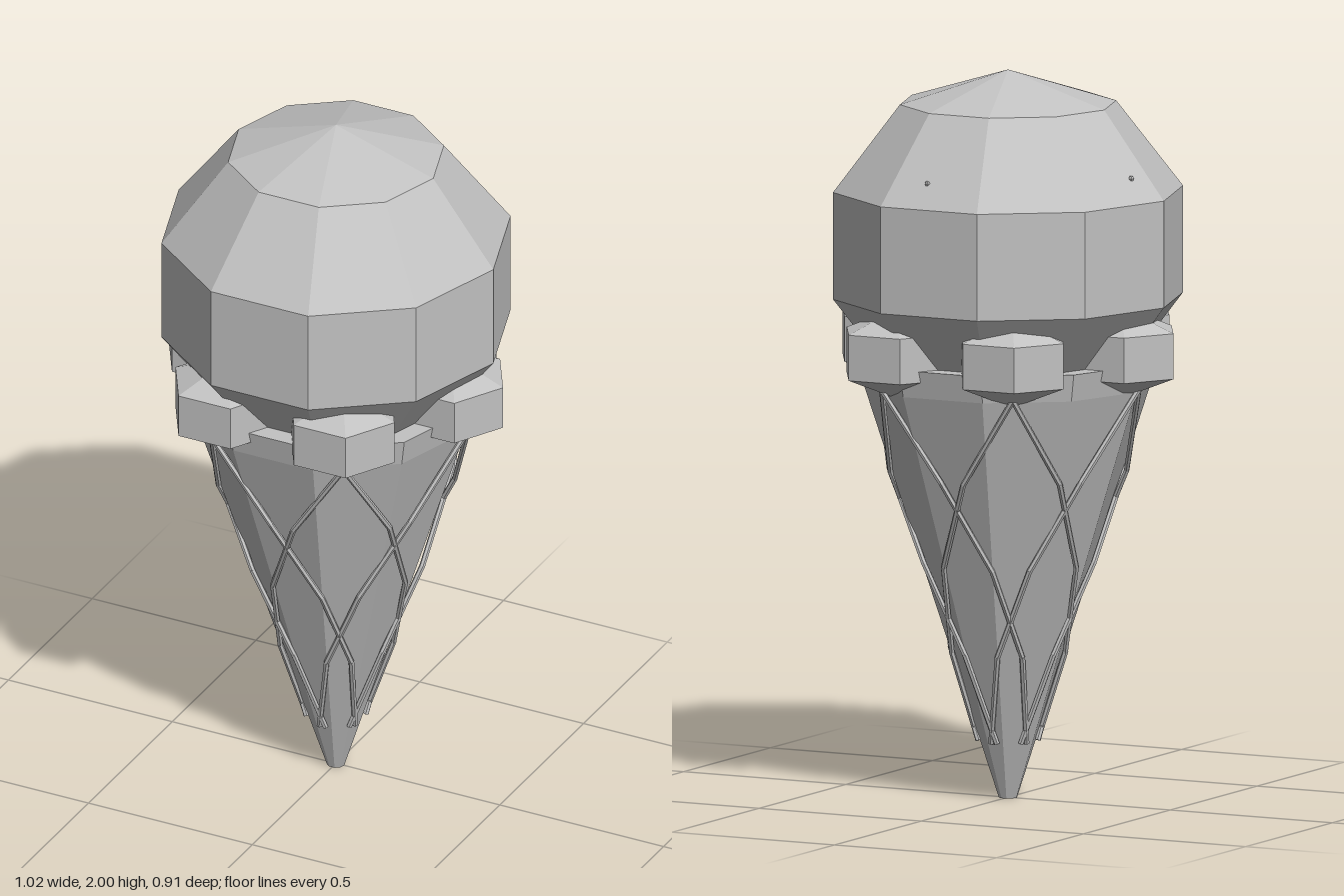
import * as THREE from 'three';

const grey = new THREE.MeshStandardMaterial({ color: 0xc2c2c2, flatShading: true });
grey.name = 'plainGrey';

function addPart(parent, name, geometry, x = 0, y = 0, z = 0) {
  const mesh = new THREE.Mesh(geometry, grey);
  mesh.name = name;
  mesh.position.set(x, y, z);
  parent.add(mesh);
  return mesh;
}

// Thin rod between two points
function addRod(parent, name, a, b, radius) {
  const dir = b.clone().sub(a);
  const mesh = addPart(parent, name, new THREE.CylinderGeometry(radius, radius, dir.length() + radius * 0.5, 6));
  mesh.position.copy(a).add(b).multiplyScalar(0.5);
  mesh.quaternion.setFromUnitVectors(new THREE.Vector3(0, 1, 0), dir.normalize());
}

// Point on the conical surface that carries the lattice
function onCone(angle, y) {
  const r = 0.03 + 0.325 * y;
  return new THREE.Vector3(r * Math.cos(angle), y, r * Math.sin(angle));
}

export function createModel() {
  const model = new THREE.Group();
  model.name = 'iceCreamCone';

  // Ten-sided scoop, slightly flattened
  addPart(model, 'scoop', new THREE.SphereGeometry(0.505, 10, 5).scale(1, 0.475 / 0.505, 1), 0, 1.525, 0);

  // Ten-sided cone with an upright rim and closed ends
  const profile = [[0, 0], [0.025, 0], [0.395, 1.14], [0.41, 1.215], [0, 1.215]]
    .map(([r, y]) => new THREE.Vector2(r, y));
  addPart(model, 'cone', new THREE.LatheGeometry(profile, 10, Math.PI / 2));

  // Six drips around the rim
  const drips = new THREE.Group();
  drips.name = 'drips';
  model.add(drips);
  const dripShape = new THREE.SphereGeometry(0.1825, 6, 3).scale(1, 0.125 / 0.1825, 1);
  for (let i = 0; i < 6; i++) {
    const a = (i * Math.PI) / 3;
    addPart(drips, 'drip', dripShape, 0.352 * Math.cos(a), 1.247, 0.352 * Math.sin(a));
  }

  // Wafer lattice: six starts, each winding both ways down in four straight runs
  const lattice = new THREE.Group();
  lattice.name = 'waferLattice';
  model.add(lattice);
  const runs = 4, top = 1.15, bottom = 0.16;
  const turn = THREE.MathUtils.degToRad(96);
  for (let i = 0; i < 6; i++) {
    for (const side of [-1, 1]) {
      const at = (k) => onCone((i * Math.PI) / 3 + side * turn * (k / runs), top + (bottom - top) * (k / runs));
      for (let k = 0; k < runs; k++) addRod(lattice, 'latticeStrip', at(k), at(k + 1), 0.008);
    }
  }

  // Two tiny specks barely breaking the scoop surface
  for (const [x, y, z] of [[0.03, 1.737, -0.408], [-0.412, 1.737, -0.06]]) {
    addPart(model, 'speck', new THREE.SphereGeometry(0.008, 6, 4), x, y, z);
  }
  return model;
}
